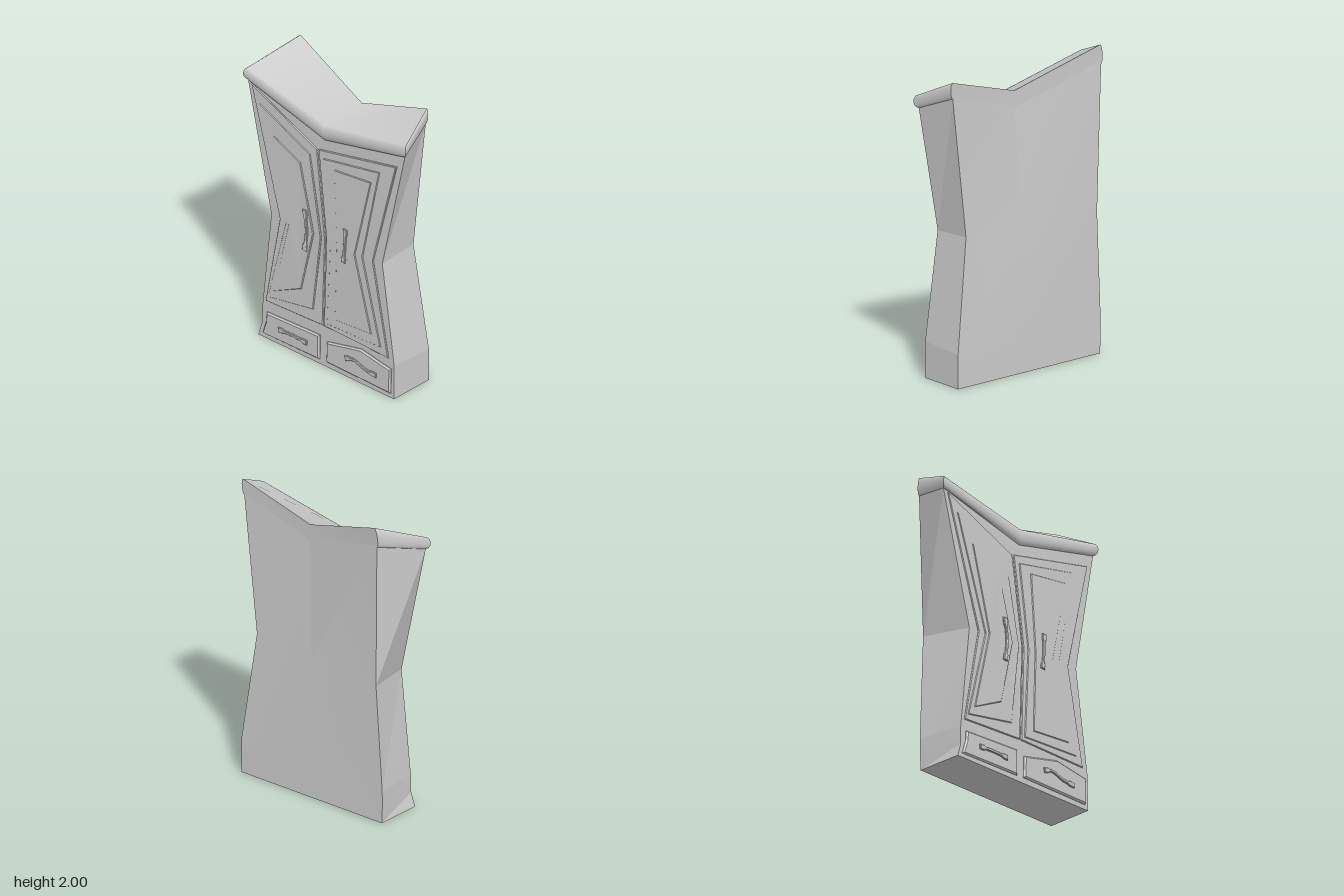
import * as THREE from 'three';
import { toCreasedNormals } from 'three/addons/utils/BufferGeometryUtils.js';

const material = new THREE.MeshStandardMaterial({ color: 0xcccccc });

function addMesh(parent, name, geometry) {
  const mesh = new THREE.Mesh(geometry, material);
  mesh.name = name;
  parent.add(mesh);
  return mesh;
}

// Skin over rings of six points: front left, mid, right, then back right, mid, left
function loft(rings, crease) {
  const index = [];
  for (let i = 0; i < rings.length - 1; i++) {
    for (let j = 0; j < 6; j++) {
      const k = (j + 1) % 6;
      const a = i * 6 + j, b = i * 6 + k, c = b + 6, d = a + 6;
      index.push(a, b, c, a, c, d);
    }
  }
  const t = (rings.length - 1) * 6;
  for (const [a, b, c, d] of [[0, 1, 4, 5], [1, 2, 3, 4]]) {
    index.push(a, c, b, a, d, c);
    index.push(t + a, t + b, t + c, t + a, t + c, t + d);
  }
  const geometry = new THREE.BufferGeometry();
  geometry.setAttribute('position', new THREE.Float32BufferAttribute(rings.flat(2), 3));
  geometry.setIndex(index);
  return toCreasedNormals(geometry, crease);
}

// The front leans slightly back above the waist
const lean = (y) => -0.017 * Math.max(0, y - 0.9);

// Bevelled slab with a given outline, whose front face lies at z = front
function slab(points, front, bevel = 0.006) {
  const shape = new THREE.Shape(points.map(([x, y]) => new THREE.Vector2(x, y)));
  const geometry = new THREE.ExtrudeGeometry(shape, {
    depth: front - 0.14 - bevel, bevelEnabled: true, bevelSegments: 1,
    bevelThickness: bevel, bevelSize: bevel, bevelOffset: -bevel,
  });
  geometry.translate(0, 0, 0.14);
  const p = geometry.attributes.position;
  for (let i = 0; i < p.count; i++) p.setZ(i, p.getZ(i) + lean(p.getY(i)));
  geometry.computeVertexNormals();
  return geometry;
}

// Pull handle: a ribbon along a curve, wide at the ends and slim between
function handle(points, front) {
  const curve = new THREE.CatmullRomCurve3(points.map(([x, y]) => new THREE.Vector3(x, y, 0)));
  const one = [], other = [];
  const n = 14;
  for (let i = 0; i <= n; i++) {
    const u = i / n, p = curve.getPoint(u), t = curve.getTangent(u);
    const w = Math.abs(u - 0.5) > 0.3 ? 0.017 : 0.01;
    one.push([p.x - t.y * w, p.y + t.x * w]);
    other.unshift([p.x + t.y * w, p.y - t.x * w]);
  }
  return slab([...one, ...other], front, 0.004);
}

export function createModel() {
  const model = new THREE.Group();
  model.name = 'wardrobe';

  // Warped carcass
  const under = [
    [-0.655, 1.78, 0.145], [0, 1.61, 0.148], [0.655, 1.755, 0.138],
    [0.595, 1.86, -0.113], [0.08, 1.69, -0.09], [-0.54, 1.87, -0.18],
  ];
  addMesh(model, 'body', loft([
    [[-0.55, 0, 0.165], [0, 0, 0.163], [0.585, 0, 0.163],
      [0.585, 0, -0.152], [0, 0, -0.152], [-0.555, 0, -0.152]],
    [[-0.522, 0.09, 0.162], [0, 0.09, 0.162], [0.585, 0.11, 0.162],
      [0.585, 0.11, -0.152], [0, 0.1, -0.152], [-0.56, 0.11, -0.152]],
    [[-0.52, 0.21, 0.16], [0, 0.22, 0.16], [0.585, 0.235, 0.16],
      [0.585, 0.22, -0.152], [0.01, 0.22, -0.152], [-0.56, 0.21, -0.153]],
    [[-0.445, 0.9, 0.16], [0, 0.91, 0.16], [0.485, 0.93, 0.16],
      [0.49, 0.95, -0.115], [0.04, 0.93, -0.125], [-0.52, 0.92, -0.165]],
    under,
  ], 0.1));

  // Cornice with a rounded rim on the front and both ends
  const over = [
    [-0.652, 1.86, 0.145], [0, 1.715, 0.148], [0.66, 1.84, 0.138],
    [0.6, 1.965, -0.118], [0.08, 1.805, -0.09], [-0.525, 2, -0.188],
  ];
  const push = [[-1, 1], [0, 1], [1, 1], [0.7, 0], [0, 0], [-0.7, 0]];
  const rim = [];
  for (let i = 0; i <= 10; i++) {
    const a = (Math.PI * i) / 10, t = (1 - Math.cos(a)) / 2, out = 0.022 * Math.sin(a);
    rim.push(under.map((p, j) => [
      THREE.MathUtils.lerp(p[0], over[j][0], t) + push[j][0] * out,
      THREE.MathUtils.lerp(p[1], over[j][1], t),
      THREE.MathUtils.lerp(p[2], over[j][2], t) + push[j][1] * out,
    ]));
  }
  addMesh(model, 'cornice', loft(rim, 0.6));

  // Doors: outer frame, raised field and centre panel
  const doors = {
    rightDoor: [
      [[-0.62, 1.76], [-0.065, 1.52], [0.012, 0.915], [-0.008, 0.285], [-0.49, 0.265], [-0.37, 0.9]],
      [[-0.545, 1.65], [-0.12, 1.465], [-0.02, 0.91], [-0.085, 0.37], [-0.465, 0.305], [-0.315, 0.9]],
      [[-0.42, 1.475], [-0.195, 1.375], [-0.08, 0.915], [-0.18, 0.48], [-0.412, 0.37], [-0.285, 0.91]],
    ],
    leftDoor: [
      [[-0.055, 1.525], [0.593, 1.66], [0.412, 0.92], [0.54, 0.275], [0, 0.285], [0.02, 0.915]],
      [[-0.01, 1.48], [0.46, 1.57], [0.328, 0.915], [0.48, 0.33], [0.028, 0.312], [0.058, 0.915]],
      [[0.085, 1.44], [0.395, 1.475], [0.268, 0.91], [0.407, 0.397], [0.1, 0.375], [0.115, 0.91]],
    ],
  };
  for (const [name, outlines] of Object.entries(doors)) {
    const door = new THREE.Group();
    door.name = name;
    ['frame', 'field', 'panel'].forEach((part, i) =>
      addMesh(door, part, slab(outlines[i], 0.167 + i * 0.005, 0.005)));
    model.add(door);
  }

  // Drawer fronts
  addMesh(model, 'rightDrawer', slab(
    [[-0.477, 0.19], [-0.033, 0.207], [-0.033, 0.033], [-0.513, 0.027], [-0.482, 0.12]], 0.175, 0.01));
  addMesh(model, 'leftDrawer', slab(
    [[0.028, 0.185], [0.312, 0.248], [0.565, 0.207], [0.56, 0.032], [0.022, 0.037]], 0.175, 0.01));

  // Handles
  addMesh(model, 'rightDoorHandle', handle([[-0.15, 1.06], [-0.134, 0.91], [-0.15, 0.77]], 0.186));
  addMesh(model, 'leftDoorHandle', handle([[0.19, 1.06], [0.186, 0.93], [0.175, 0.82]], 0.186));
  addMesh(model, 'rightDrawerHandle', handle([[-0.37, 0.115], [-0.25, 0.12], [-0.13, 0.115]], 0.185));
  addMesh(model, 'leftDrawerHandle', handle([[0.19, 0.14], [0.26, 0.155], [0.36, 0.125], [0.45, 0.12]], 0.185));

  return model;
}
